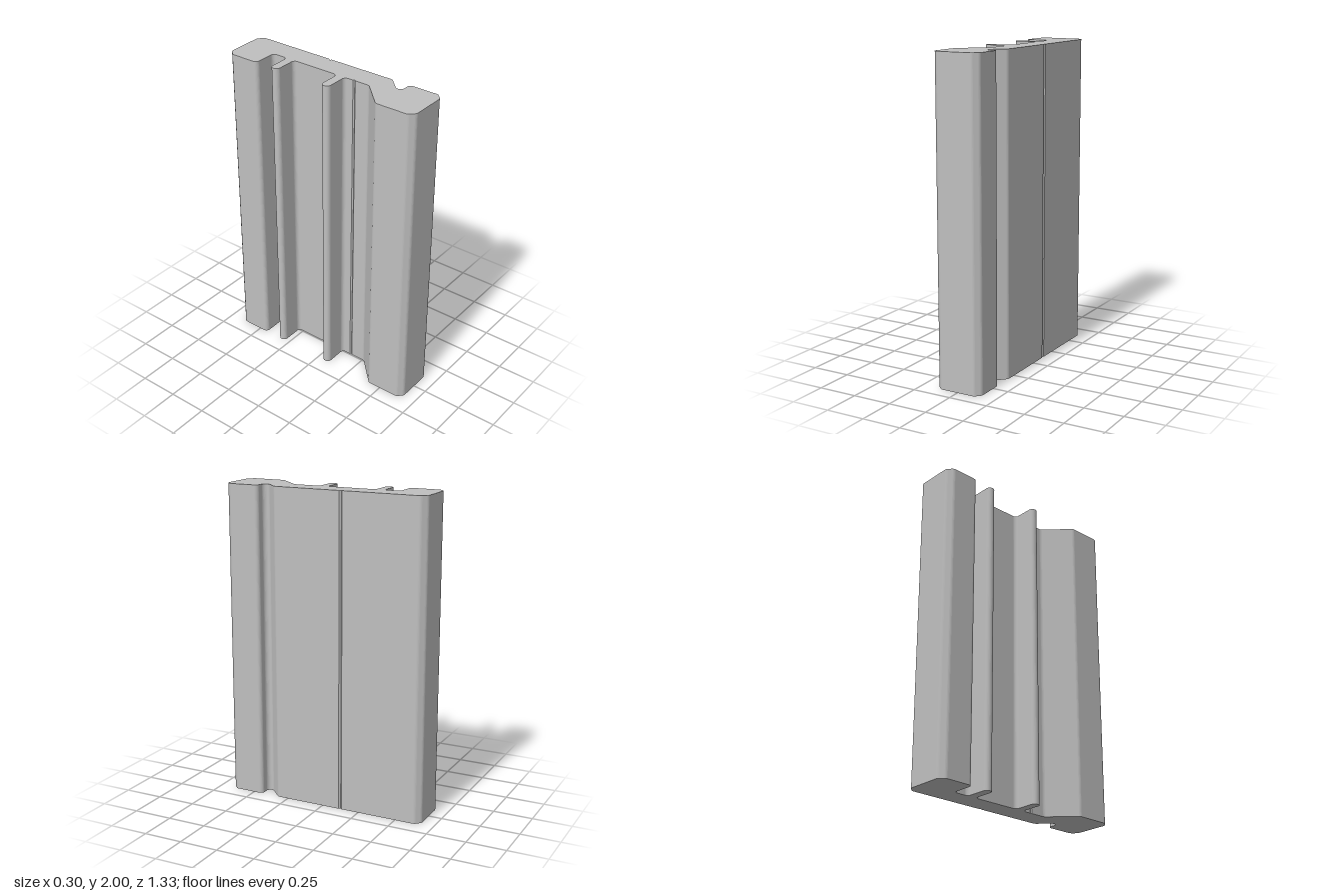
import * as THREE from 'three';

const HEIGHT = 2;

// Closed outline through [x, z, radius] corners, each rounded by a true arc
function roundedOutline(corners) {
  const points = [];
  corners.forEach(([x, z, radius], i) => {
    const at = (k) => {
      const c = corners[(k + corners.length) % corners.length];
      return new THREE.Vector2(c[0], -c[1]);
    };
    const corner = new THREE.Vector2(x, -z);
    if (!radius) {
      points.push(corner);
      return;
    }
    const a = at(i - 1).sub(corner).normalize();
    const b = at(i + 1).sub(corner).normalize();
    const half = Math.acos(a.dot(b)) / 2;
    const centre = a.clone().add(b).normalize().multiplyScalar(radius / Math.sin(half)).add(corner);
    const reach = radius / Math.tan(half);
    const start = a.multiplyScalar(reach).add(corner).sub(centre).angle();
    const end = b.multiplyScalar(reach).add(corner).sub(centre).angle();
    const sweep = Math.atan2(Math.sin(end - start), Math.cos(end - start));
    const steps = Math.max(3, Math.ceil(Math.abs(sweep) / 0.13));
    for (let s = 0; s <= steps; s++) {
      const t = start + (sweep * s) / steps;
      points.push(new THREE.Vector2(centre.x + radius * Math.cos(t), centre.y + radius * Math.sin(t)));
    }
  });
  return new THREE.Shape(points);
}

// Thin rib sticking out of the web between two z positions
const rib = (front, back) => [
  [0.006, front, 0.025], [-0.15, front, 0.027],
  [-0.15, back, 0.027], [0.006, back, 0.025],
];

export function createModel() {
  const group = new THREE.Group();
  group.name = 'extrudedProfile';
  const grey = new THREE.MeshStandardMaterial({ color: 0xbfbfbf });
  grey.name = 'grey';

  const outline = roundedOutline([
    // rear block, outer corner
    [0.114, -0.665, 0.03], [0.15, -0.629, 0.03],
    // scored line on the flat face
    [0.15, -0.135, 0], [0.14, -0.125, 0], [0.15, -0.115, 0],
    // slanted undercut groove
    [0.15, 0.32, 0.03], [0.033, 0.437, 0.027], [0.15, 0.437, 0.025],
    // front block
    [0.15, 0.629, 0.03], [0.114, 0.665, 0.03],
    [-0.114, 0.665, 0.03], [-0.15, 0.629, 0.03],
    [-0.15, 0.416, 0.03], [0.006, 0.26, 0.03],
    // small score in the web
    [0.006, 0.163, 0], [0.013, 0.155, 0], [0.006, 0.147, 0],
    // two ribs
    ...rib(0.088, 0.033),
    ...rib(-0.284, -0.339),
    // rear block, inner side
    [0.006, -0.441, 0.025], [-0.15, -0.441, 0.027],
    [-0.15, -0.629, 0.03], [-0.114, -0.665, 0.03],
  ]);

  const geometry = new THREE.ExtrudeGeometry(outline, { depth: HEIGHT, bevelEnabled: false });
  geometry.rotateX(-Math.PI / 2);
  const profile = new THREE.Mesh(geometry, grey);
  profile.name = 'profileBar';
  group.add(profile);
  return group;
}
